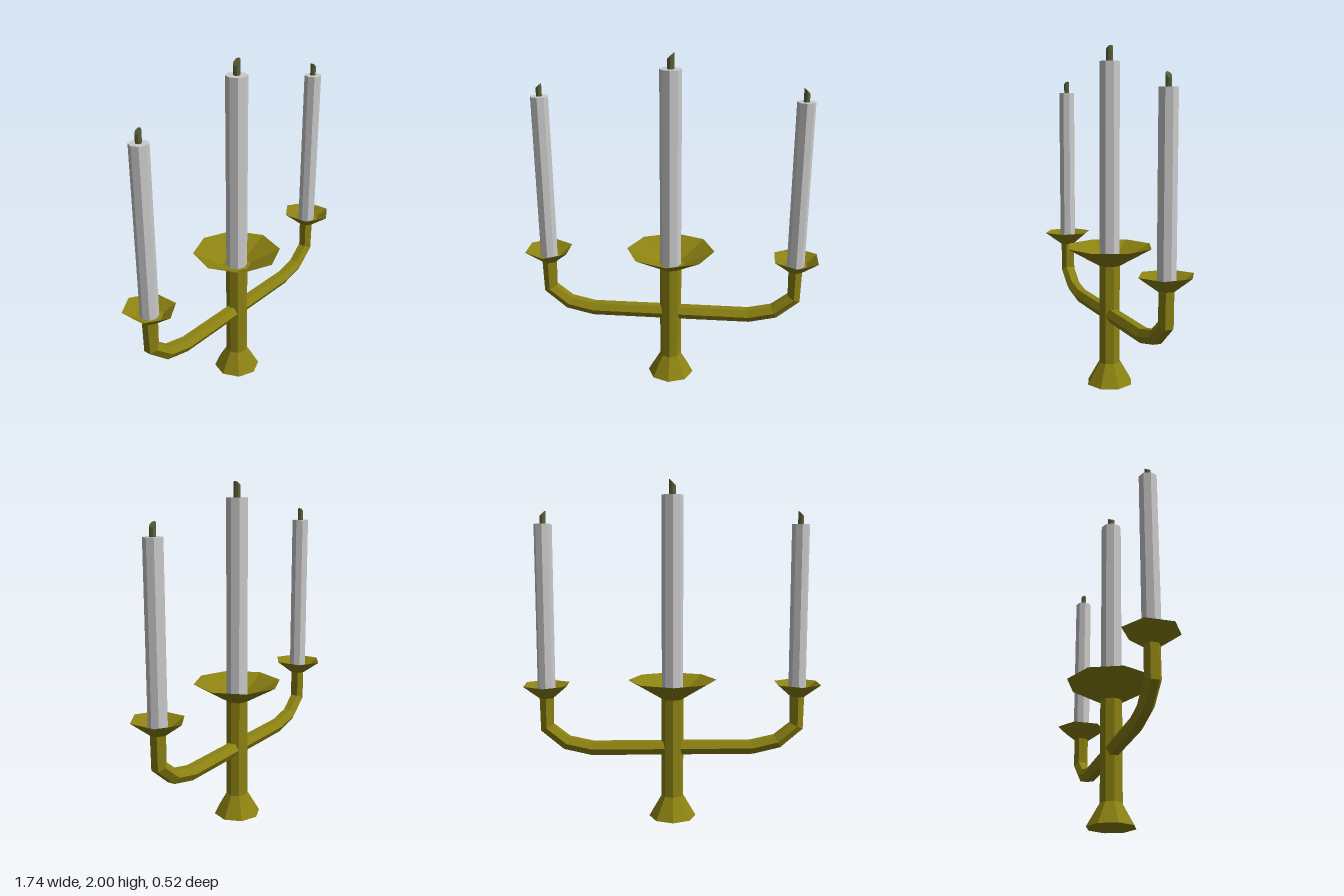
import * as THREE from 'three';

const material = (color) => new THREE.MeshStandardMaterial({ color, flatShading: true });
const brass = material(0x8c8212);
const wax = material(0xcccccc);
const wickMat = material(0x5a6038);

function addMesh(parent, name, geometry, mat) {
  const mesh = new THREE.Mesh(geometry, mat);
  mesh.name = name;
  parent.add(mesh);
  return mesh;
}

// Faceted turned shape; the profile runs from bottom to top on the outside
const turned = (profile, sides) =>
  new THREE.LatheGeometry(profile.map(([r, y]) => new THREE.Vector2(r, y)), sides);

// Wax column with a slant-cut wick; lean is the side (+1 / -1 in x) of the wick's peak
function addCandle(parent, radius, bottom, top, wickRadius, wickTop, lean) {
  const candle = new THREE.Group();
  candle.name = 'candle';
  parent.add(candle);
  addMesh(candle, 'wax', turned([[0, bottom], [radius, bottom], [radius, top], [0, top]], 8), wax);

  const height = wickTop - top;
  const wick = new THREE.CylinderGeometry(wickRadius, wickRadius, height, 8);
  wick.translate(0, top + height / 2, 0);
  const p = wick.attributes.position;
  for (let i = 0; i < p.count; i++) {
    if (p.getY(i) > top + height / 2) {
      p.setY(i, wickTop - 0.9 * (wickRadius - lean * p.getX(i)));
    }
  }
  wick.computeVertexNormals();
  addMesh(candle, 'wick', wick, wickMat);
}

// Six-sided bar swept along a bent path in the xy plane
function armGeometry(path, radius) {
  const pts = path.map(([x, y]) => new THREE.Vector2(x, y));
  const positions = [];
  const index = [];
  pts.forEach((pt, i) => {
    const tangent = new THREE.Vector2();
    if (i > 0) tangent.add(pt.clone().sub(pts[i - 1]).normalize());
    if (i < pts.length - 1) tangent.add(pts[i + 1].clone().sub(pt).normalize());
    tangent.normalize();
    for (let k = 0; k < 6; k++) {
      const a = Math.PI / 6 + (k * Math.PI) / 3;
      const n = radius * Math.cos(a);
      positions.push(pt.x - tangent.y * n, pt.y + tangent.x * n, radius * Math.sin(a));
      if (i < pts.length - 1) {
        const a0 = i * 6 + k;
        const b0 = i * 6 + ((k + 1) % 6);
        index.push(a0, b0, b0 + 6, a0, b0 + 6, a0 + 6);
      }
    }
  });
  const geo = new THREE.BufferGeometry();
  geo.setAttribute('position', new THREE.Float32BufferAttribute(positions, 3));
  geo.setIndex(index);
  geo.computeVertexNormals();
  return geo;
}

export function createModel() {
  const model = new THREE.Group();
  model.name = 'candelabra';

  // Central stem with flared foot, and its wide drip dish
  addMesh(model, 'stem', turned([[0, 0], [0.14, 0], [0.065, 0.13], [0.065, 0.73]], 8), brass);
  addMesh(model, 'centreDish',
    turned([[0, 0.722], [0.065, 0.722], [0.262, 0.835], [0.085, 0.745], [0, 0.745]], 8), brass);
  addCandle(model, 0.063, 0.74, 1.91, 0.021, 2, 1);

  // Two identical arms, the second turned half way round
  const armX = 0.743;
  for (const [side, turn] of [['left', 0], ['right', Math.PI]]) {
    const branch = new THREE.Group();
    branch.name = side + 'Branch';
    branch.rotation.y = turn;
    model.add(branch);

    addMesh(branch, 'arm', armGeometry(
      [[0, 0.425], [0.477, 0.425], [0.628, 0.46], [armX, 0.555], [armX, 0.74]], 0.045), brass);

    const holder = new THREE.Group();
    holder.name = 'candleHolder';
    holder.position.x = armX;
    branch.add(holder);
    const dish = addMesh(holder, 'dish',
      turned([[0, 0.733], [0.045, 0.733], [0.145, 0.812], [0.077, 0.765], [0, 0.765]], 6), brass);
    dish.scale.z = 1.08;
    addCandle(holder, 0.052, 0.76, 1.745, 0.017, 1.82, -1);
  }
  return model;
}
